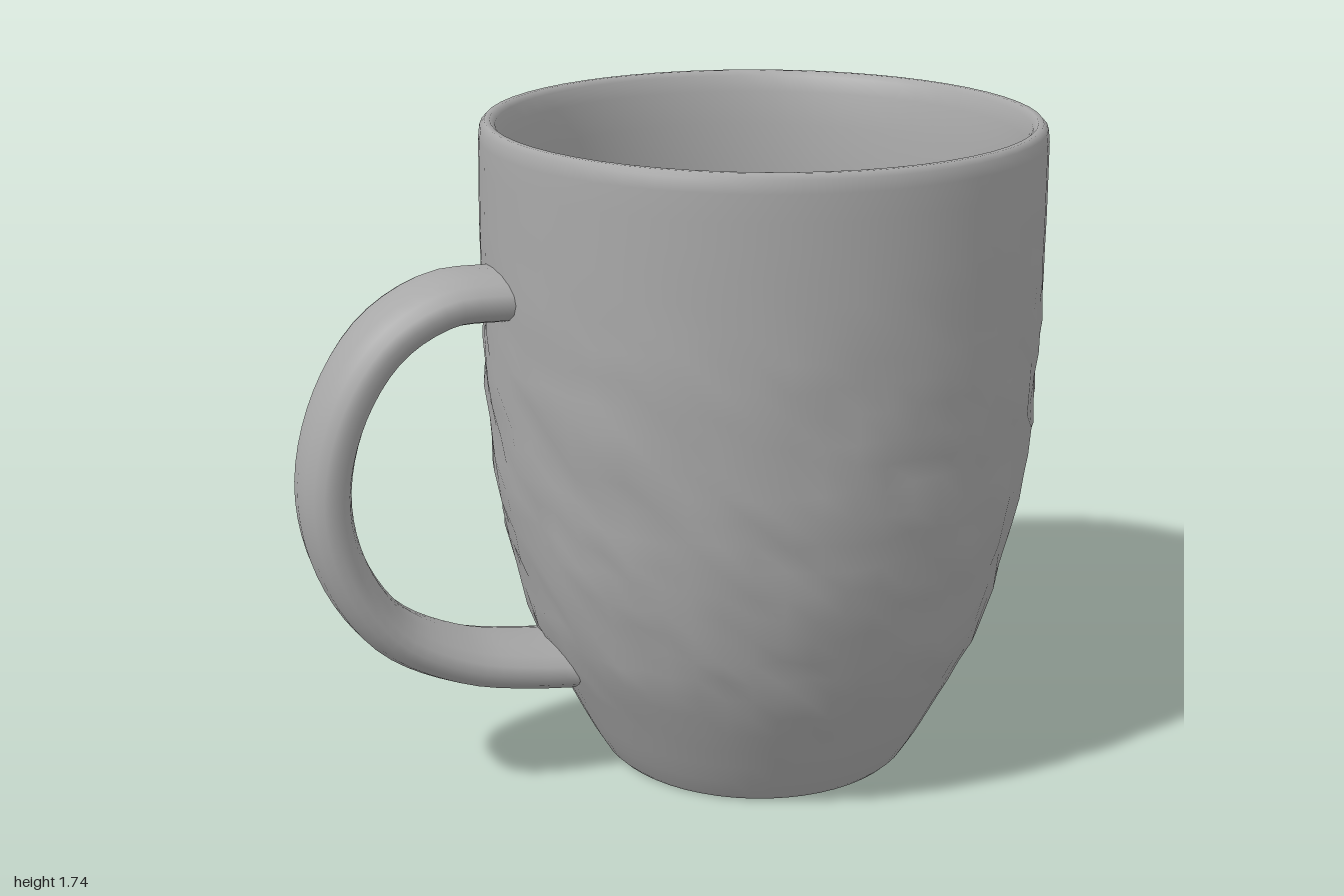
import * as THREE from 'three';
import { mergeVertices } from 'three/addons/utils/BufferGeometryUtils.js';

const V2 = (p) => new THREE.Vector2(p[0], p[1]);

// Repeatable value in -1..1 for a pair of grid numbers
function hash(i, j) {
  const s = Math.sin(i * 127.1 + j * 311.7) * 43758.5453;
  return (s - Math.floor(s)) * 2 - 1;
}

// Weld seams and give smooth normals
function smooth(geometry) {
  geometry.deleteAttribute('uv');
  geometry.deleteAttribute('normal');
  const welded = mergeVertices(geometry, 1e-4);
  welded.computeVertexNormals();
  return welded;
}

function makeCup() {
  // Recessed underside and foot ring
  const foot = [[0, 0.08], [0.2, 0.08], [0.33, 0.075], [0.365, 0.05], [0.38, 0.015], [0.395, 0.005], [0.415, 0.005]].map(V2);
  // Outer wall
  const outer = new THREE.SplineCurve([
    [0.428, 0.018], [0.47, 0.09], [0.525, 0.2], [0.575, 0.3], [0.617, 0.4], [0.672, 0.6],
    [0.706, 0.8], [0.722, 1.0], [0.732, 1.2], [0.732, 1.45], [0.728, 1.7],
  ].map(V2)).getSpacedPoints(26);
  // Rim, inner wall and floor
  const inner = [
    [0.724, 1.732], [0.712, 1.745], [0.698, 1.745], [0.685, 1.732], [0.672, 1.69], [0.655, 1.6],
    [0.642, 1.45], [0.637, 1.25], [0.637, 1.0], [0.625, 0.8], [0.602, 0.6], [0.565, 0.43],
    [0.52, 0.3], [0.47, 0.21], [0.42, 0.175], [0.25, 0.165], [0, 0.165],
  ].map(V2);

  const segments = 56;
  const rows = [...foot, ...outer, ...inner];
  const geometry = new THREE.LatheGeometry(rows, segments);
  const pos = geometry.attributes.position;

  // Hand-hammered dimples on the outer wall, fading out towards foot and rim
  for (let i = 0; i <= segments; i++) {
    for (let j = foot.length; j < foot.length + outer.length; j++) {
      const k = i * rows.length + j;
      const y = pos.getY(k);
      const fade = THREE.MathUtils.smoothstep(y, 0.2, 0.45) * (1 - THREE.MathUtils.smoothstep(y, 1.0, 1.55));
      const a = i % segments;
      const s = 1 + 0.012 * fade * hash(a, j);
      pos.setXYZ(k, pos.getX(k) * s, y + 0.012 * fade * hash(a + 71, j), pos.getZ(k) * s);
    }
  }
  return smooth(geometry);
}

function makeHandle() {
  const path = new THREE.CatmullRomCurve3([
    [-0.42, 1.345], [-0.5, 1.35], [-0.62, 1.345], [-0.77, 1.265], [-0.885, 1.1], [-0.938, 0.88],
    [-0.9, 0.67], [-0.785, 0.49], [-0.6, 0.383], [-0.42, 0.34], [-0.31, 0.325],
  ].map(([x, y]) => new THREE.Vector3(x, y, 0)));
  const r = 0.064;
  const geometry = new THREE.TubeGeometry(path, 40, r, 16, false);
  const pos = geometry.attributes.position;

  // Widen the round section into a soft strap, broader near the cup
  for (let i = 0; i < pos.count; i++) {
    const z = pos.getZ(i) / r;
    const width = THREE.MathUtils.mapLinear(pos.getX(i), -1, -0.4, 0.12, 0.143);
    pos.setZ(i, Math.sign(z) * Math.pow(Math.abs(z), 0.85) * width - 0.012);
  }
  return smooth(geometry);
}

export function createModel() {
  const glaze = new THREE.MeshStandardMaterial({ color: 0xa8a8a8 });
  glaze.name = 'grey glaze';

  const mug = new THREE.Group();
  mug.name = 'mug';

  const cup = new THREE.Mesh(makeCup(), glaze);
  cup.name = 'cup';
  cup.position.x = 0.255;

  const handle = new THREE.Mesh(makeHandle(), glaze);
  handle.name = 'handle';

  mug.add(cup, handle);
  return mug;
}
